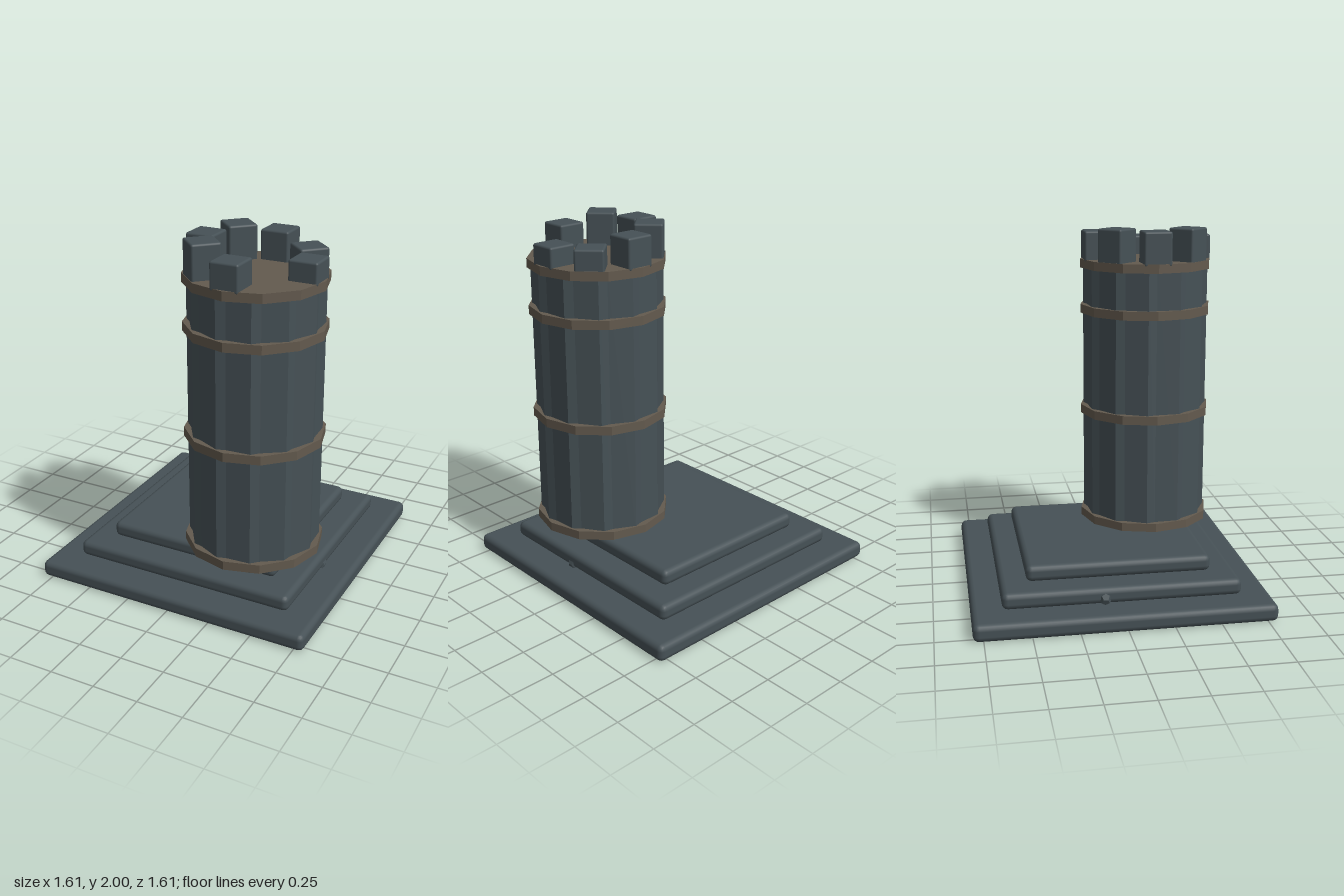
import * as THREE from 'three';
import { RoundedBoxGeometry } from 'three/addons/geometries/RoundedBoxGeometry.js';

export function createModel() {
  const model = new THREE.Group();
  const stone = new THREE.MeshStandardMaterial({ color: 0x465156 });
  stone.name = 'slateStone';
  const trim = new THREE.MeshStandardMaterial({ color: 0x635a4e });
  trim.name = 'brownTrim';

  const add = (parent, name, geometry, material, x, y, z) => {
    const mesh = new THREE.Mesh(geometry, material);
    mesh.name = name;
    mesh.position.set(x, y, z);
    parent.add(mesh);
    return mesh;
  };

  // Stepped square base with rounded edges
  [[1.61, 0, 0.095], [1.29, 0.095, 0.185], [1.01, 0.185, 0.275]].forEach(([size, y0, y1], i) => {
    add(model, `baseStep${i + 1}`, new RoundedBoxGeometry(size, y1 - y0, size, 2, 0.032),
      stone, 0, (y0 + y1) / 2, 0);
  });

  // Small loose stones against the middle step
  const pebble = new THREE.DodecahedronGeometry(0.035);
  add(model, 'pebbleRight', pebble, stone, -0.637, 0.125, -0.1).scale.set(0.7, 1, 1);
  add(model, 'pebbleLeft', pebble, stone, 0.63, 0.115, 0.13).scale.set(0.7, 1, 1);

  // Tower stands off-centre on the base
  const tower = new THREE.Group();
  tower.name = 'tower';
  tower.position.set(0.28, 0, 0.285);
  model.add(tower);

  // Ribbed shaft: twelve shallow slanted facets, each ending in a short return
  const outline = [];
  for (let k = 0; k < 12; k++) {
    for (const [deg, r] of [[-8, 0.36], [0, 0.342]]) {
      const a = THREE.MathUtils.degToRad(k * 30 + deg);
      outline.push(new THREE.Vector2(r * Math.sin(a), -r * Math.cos(a)));
    }
  }
  const shaft = new THREE.ExtrudeGeometry(new THREE.Shape(outline), { depth: 1.53, bevelEnabled: false });
  shaft.rotateX(-Math.PI / 2);
  add(tower, 'towerShaft', shaft, stone, 0, 0.265, 0);

  // Twelve-sided bands; the top one also forms the roof floor
  const band = new THREE.CylinderGeometry(0.38, 0.38, 0.05, 12).toNonIndexed();
  band.computeVertexNormals();
  [0.298, 0.936, 1.53, 1.79].forEach((y, i) => add(tower, `band${i + 1}`, band, trim, 0, y, 0));

  // Battlements of uneven height, with one missing at the front left corner
  const tops = [1.95, null, 1.922, 1.927, 1.975, 2.0, 1.99, 2.0];
  tops.forEach((top, i) => {
    if (top === null) return;
    const a = i * Math.PI / 4;
    const y0 = 1.8;
    add(tower, `battlement${i + 1}`, new RoundedBoxGeometry(0.158, top - y0, 0.158, 2, 0.012),
      stone, 0.285 * Math.sin(a), (top + y0) / 2, 0.285 * Math.cos(a)).rotation.y = a;
  });

  return model;
}
